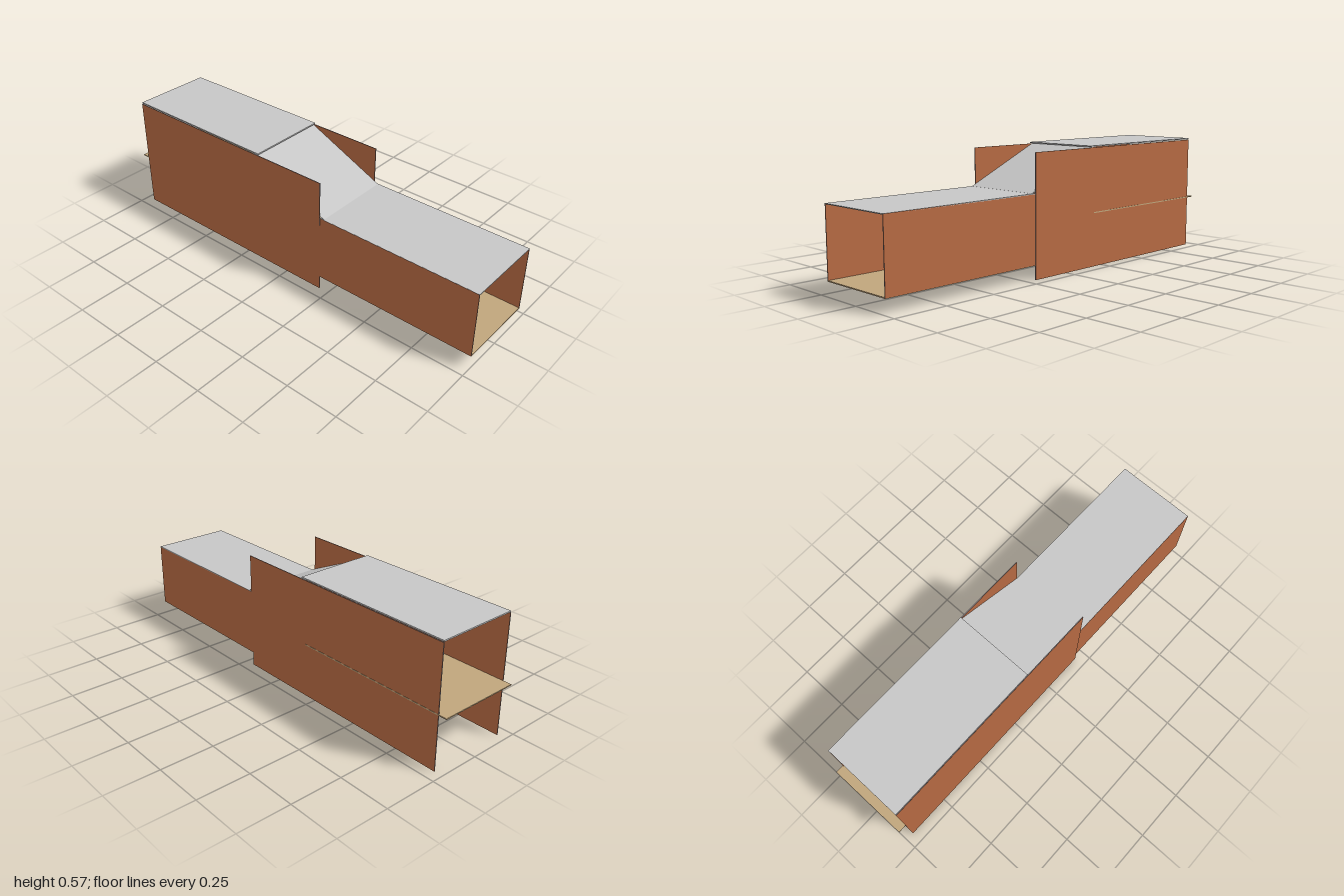
import * as THREE from 'three';

const mat = (name, color) => {
  const m = new THREE.MeshStandardMaterial({ color });
  m.name = name;
  return m;
};

export function createModel() {
  const model = new THREE.Group();
  model.name = 'steppedPassage';
  const brown = mat('brownWall', 0xb66a43);
  const grey = mat('greyRoof', 0xc6c6c6);
  const tan = mat('tanFloor', 0xc0a57c);
  const edge = mat('greyWallEdge', 0x8c8488);

  // Sheet spanning the width, running from (z0, y0) to (z1, y1) along its middle plane
  function sheet(name, material, [z0, y0], [z1, y1], thick, x0, x1) {
    const length = Math.hypot(z1 - z0, y1 - y0);
    const mesh = new THREE.Mesh(new THREE.BoxGeometry(x1 - x0, thick, length), material);
    mesh.position.set((x0 + x1) / 2, (y0 + y1) / 2, (z0 + z1) / 2);
    mesh.rotation.x = Math.atan2(y1 - y0, z0 - z1);
    mesh.name = name;
    model.add(mesh);
  }

  // Upright side wall, brown on both faces with grey edges
  function wall(name, x, thick, y0, y1, z0, z1) {
    const geometry = new THREE.BoxGeometry(thick, y1 - y0, z0 - z1);
    const mesh = new THREE.Mesh(geometry, [brown, brown, edge, edge, edge, edge]);
    mesh.position.set(x, (y0 + y1) / 2, (z0 + z1) / 2);
    mesh.name = name;
    model.add(mesh);
  }

  // Low front walls and tall rear walls
  for (const [side, s] of [['left', 1], ['right', -1]]) {
    wall(side + 'FrontWall', s * 0.195, 0.004, 0.067, 0.385, 1, 0.2);
    wall(side + 'RearWall', s * 0.1965, 0.004, 0, 0.564, 0.2, -0.96);
  }

  // Roof: low, sloping, high
  sheet('frontRoof', grey, [1, 0.3835], [0.2, 0.3835], 0.004, -0.196, 0.197);
  sheet('slopingRoof', grey, [0.22, 0.384], [-0.187, 0.567], 0.004, -0.194, 0.194);
  sheet('rearRoof', grey, [-0.163, 0.5695], [-0.96, 0.5695], 0.006, -0.196, 0.197);

  // Floor: low, sloping, high and extending past the rear walls
  sheet('frontFloor', tan, [1, 0.0675], [0.2, 0.0675], 0.005, -0.196, 0.197);
  sheet('slopingFloor', tan, [0.205, 0.068], [-0.19, 0.258], 0.004, -0.194, 0.194);
  sheet('rearFloor', tan, [-0.19, 0.258], [-1, 0.258], 0.005, -0.196, 0.1995);

  return model;
}
